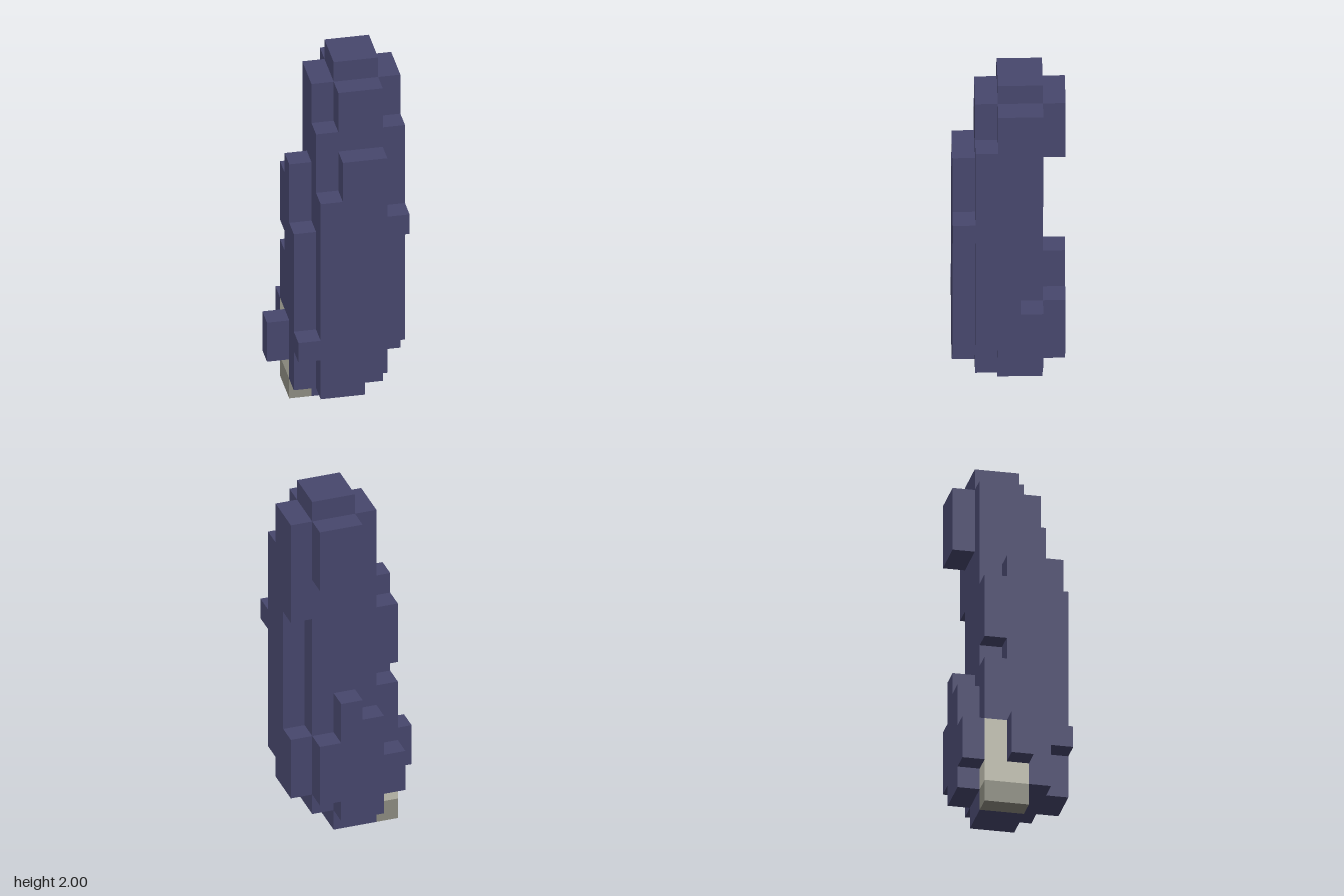
import * as THREE from 'three';
import { mergeGeometries } from 'three/addons/utils/BufferGeometryUtils.js';

const CELL = 2 / 17; // the model is 6 x 17 x 5 cells

// Box between cell edges: x 0-6 (right to left), y 0-17, z 0-5 (back to front)
function block([x0, x1, y0, y1, z0, z1]) {
  const g = new THREE.BoxGeometry((x1 - x0) * CELL, (y1 - y0) * CELL, (z1 - z0) * CELL);
  g.translate(((x0 + x1) / 2 - 3) * CELL, ((y0 + y1) / 2) * CELL, ((z0 + z1) / 2 - 2.5) * CELL);
  return g;
}

export function createModel() {
  const group = new THREE.Group();
  const material = (name, color) => {
    const m = new THREE.MeshStandardMaterial({ color });
    m.name = name;
    return m;
  };
  const navy = material('navy', 0x47476d);
  const grey = material('grey', 0x8d8c81);
  const paleGrey = material('paleGrey', 0xc2c1b2);

  function part(name, mat, boxes) {
    const mesh = new THREE.Mesh(mergeGeometries(boxes.map(block)), mat);
    mesh.name = name;
    group.add(mesh);
  }

  // Central column and its cap
  part('core', navy, [
    [2, 5, 1, 16, 1, 3],
    [2, 3, 1, 14, 3, 4],
    [3, 5, 1, 16, 3, 4],
  ]);
  part('crown', navy, [[3, 5, 16, 17, 1, 3]]);

  // Stepped front layer
  part('frontSlab', navy, [
    [2, 3, 1, 11, 4, 5],
    [3, 4, 1, 13, 4, 5],
    [4, 5, 2, 13, 4, 5],
    [5, 6, 9, 10, 4, 5],
    [1, 2, 3, 4, 4, 5],
  ]);

  // Left flank with the notch at the back
  part('leftFlank', navy, [
    [5, 6, 3, 14, 3, 4],
    [5, 6, 2, 16, 2, 3],
    [5, 6, 2, 5, 1, 2],
    [5, 6, 11, 16, 1, 2],
  ]);

  // Right flank and its small side lump
  part('rightFlank', navy, [
    [1, 2, 1, 9, 3, 4],
    [1, 2, 2, 12, 2, 3],
    [1, 2, 4, 7, 1, 2],
    [1, 2, 8, 11, 1, 2],
  ]);
  part('sideLump', navy, [[0, 1, 2, 4, 2, 3]]);

  // Back bulges, upper and lower
  part('upperBackBulge', navy, [[3, 5, 13, 16, 0, 1]]);
  part('lowerBackBulge', navy, [
    [1, 2, 2, 4, 0, 1],
    [2, 3, 1, 6, 0, 1],
    [3, 4, 1, 7, 0, 1],
    [4, 5, 2, 5, 0, 1],
  ]);

  // Base, with the bare corner
  part('base', navy, [[2, 4, 0, 1, 1, 3]]);
  part('baseCorner', grey, [[1, 2, 0, 1, 1, 3]]);
  part('paleCorner', paleGrey, [
    [1, 2, 1, 4, 1, 2],
    [1, 2, 1, 2, 2, 3],
  ]);

  return group;
}
